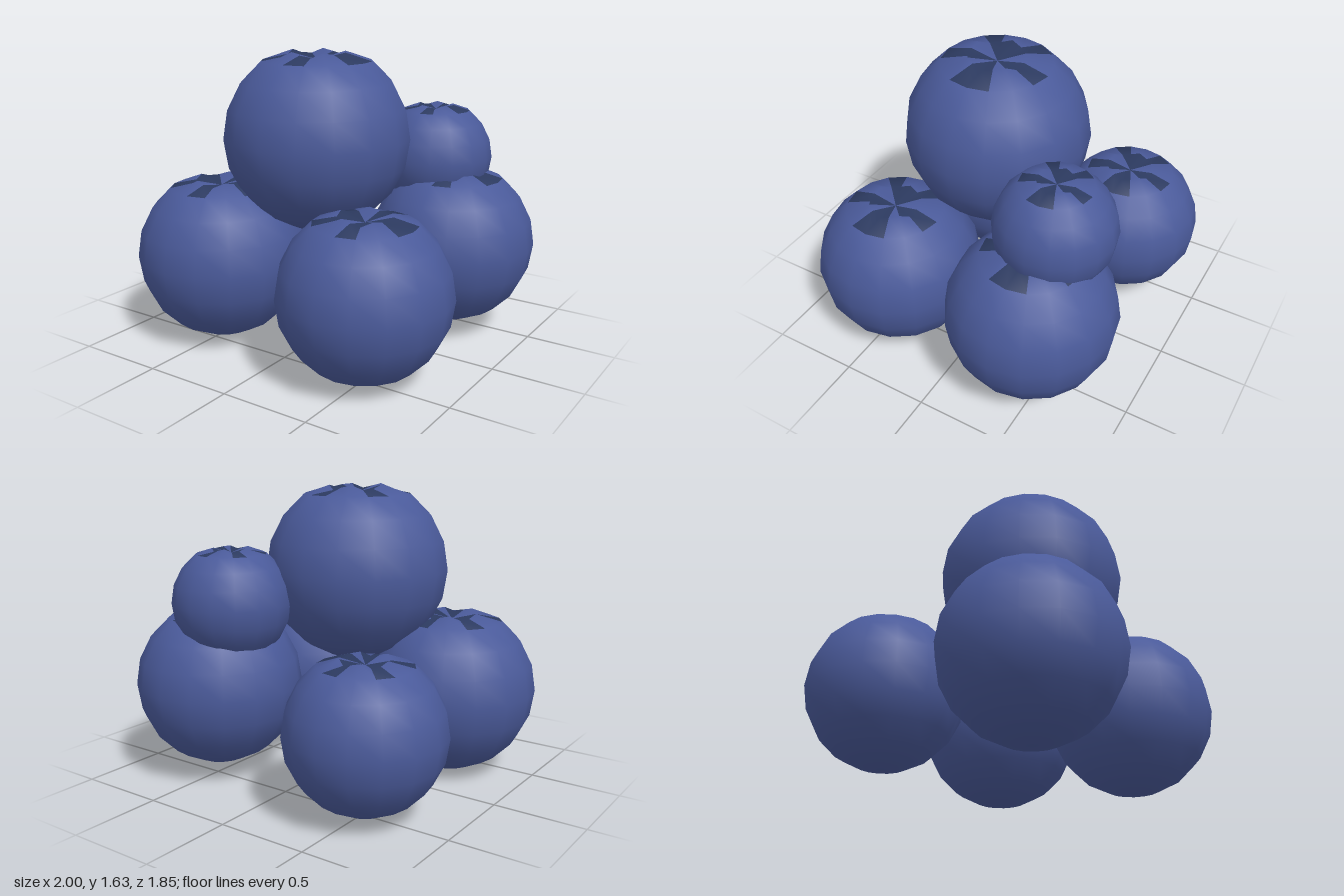
import * as THREE from 'three';
import { mergeVertices } from 'three/addons/utils/BufferGeometryUtils.js';

const skin = new THREE.MeshStandardMaterial({ color: 0x4a5a9a });
skin.name = 'berry blue';
const crown = new THREE.MeshStandardMaterial({ color: 0x2c3a60 });
crown.name = 'crown dark blue';

// Unit berry: a sphere with a sunken, five-lobed crown at the top
function berryGeometry() {
  let geo = new THREE.SphereGeometry(1, 16, 10);
  geo.deleteAttribute('uv');
  geo.deleteAttribute('normal');
  geo = mergeVertices(geo, 1e-4);
  const p = geo.attributes.position;
  for (let i = 0; i < p.count; i++) {
    const x = p.getX(i), y = p.getY(i), z = p.getZ(i);
    const lobe = Math.cos(5 * Math.atan2(z, x));
    if (y > 0.99) p.setY(i, 0.82);
    else if (y > 0.9) p.setY(i, 0.882 - 0.03 * lobe);
  }
  geo.computeVertexNormals();

  // Sort the faces into skin and crown; the crown is mirrored about z = 0
  const inner = [0, 2, 3, 6, 7], outer = [0, 3, 6];
  const faces = [[], []];
  const idx = geo.index.array;
  for (let i = 0; i < idx.length; i += 3) {
    const t = [idx[i], idx[i + 1], idx[i + 2]];
    const mean = (get) => t.reduce((s, v) => s + p[get](v), 0) / 3;
    const x = mean('getX'), y = mean('getY'), z = mean('getZ');
    const r = Math.hypot(x, z);
    const sector = Math.floor(Math.abs(Math.atan2(z, x)) / (Math.PI / 8));
    const dark = y > 0.8 && (r < 0.3 ? inner : outer).includes(sector);
    faces[dark ? 1 : 0].push(...t);
  }
  geo.setIndex([...faces[0], ...faces[1]]);
  geo.addGroup(0, faces[0].length, 0);
  geo.addGroup(faces[0].length, faces[1].length, 1);
  return geo;
}

export function createModel() {
  const model = new THREE.Group();
  model.name = 'berryPile';
  const geo = berryGeometry();
  // name, x, y, z, radius
  const berries = [
    ['topBerry', -0.045, 1.165, 0.115, 0.515],
    ['frontLeftBerry', 0.485, 0.465, 0.46, 0.462],
    ['frontRightBerry', -0.52, 0.485, 0.38, 0.48],
    ['backRightBerry', -0.52, 0.45, -0.505, 0.425],
    ['backLeftBerry', 0.53, 0.53, -0.425, 0.467],
    ['smallBerry', 0.38, 1.01, -0.47, 0.328],
  ];
  for (const [name, x, y, z, r] of berries) {
    const berry = new THREE.Mesh(geo, [skin, crown]);
    berry.name = name;
    berry.position.set(x, y, z);
    berry.scale.setScalar(r);
    model.add(berry);
  }
  return model;
}
